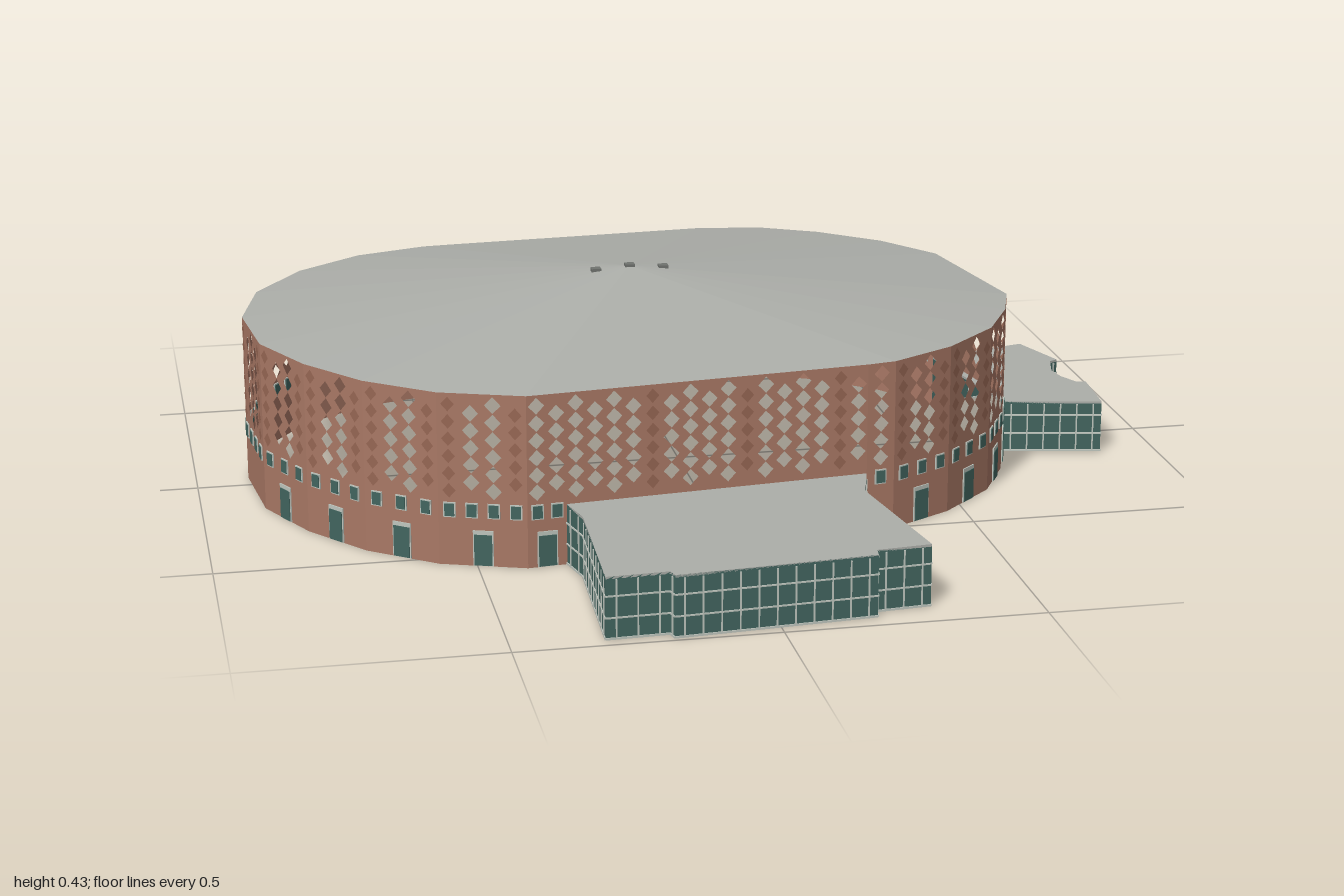
import * as THREE from 'three';
import { mergeGeometries } from 'three/addons/utils/BufferGeometryUtils.js';

const mat = (name, color, side = THREE.FrontSide) => {
  const m = new THREE.MeshStandardMaterial({ color, side });
  m.name = name;
  return m;
};

const EAVE = 0.345, SILL = 0.12;
const APEX = [-0.105, 0.43, 0.02];

// Hall outline [x, z], running front, left side, back, right side.
// A third value marks a wall that opens into a wing below the sill.
const OUTLINE = [
  [-0.407, 0.587], [-0.33, 0.579, 1], [0.275, 0.516], [0.333, 0.505], [0.465, 0.43],
  [0.58, 0.32], [0.645, 0.198], [0.68, 0.09, 1], [0.62, -0.246], [0.53, -0.373],
  [0.41, -0.474], [0.29, -0.537], [0.153, -0.557, 1], [-0.386, -0.526], [-0.466, -0.52],
  [-0.614, -0.474], [-0.75, -0.373], [-0.852, -0.225], [-0.894, -0.045], [-0.873, 0.15],
  [-0.8, 0.3], [-0.7, 0.43], [-0.57, 0.53],
];

// Open wing outlines, from one hall corner round to the other
const WINGS = [
  { name: 'frontWing', h: 0.122, bay: 0.036, bars: [0.042, 0.084], pts: [
    [-0.33, 0.579], [-0.312, 0.655], [-0.325, 0.975], [-0.205, 0.97], [-0.2, 0.99],
    [0.185, 0.96], [0.188, 0.935], [0.295, 0.925], [0.247, 0.615], [0.275, 0.516]] },
  { name: 'leftWing', h: 0.11, bay: 0.036, bars: [0.04, 0.08], pts: [
    [0.68, 0.09], [0.883, 0.13], [0.893, -0.01], [0.873, -0.013], [0.852, -0.055],
    [0.845, -0.1], [0.862, -0.165], [0.88, -0.175], [0.835, -0.304], [0.62, -0.246]] },
  { name: 'backWing', h: 0.125, bay: 0.055, bars: [0.06, 0.105], pts: [
    [0.153, -0.557], [0.16, -1], [-0.46, -0.955], [-0.386, -0.526]] },
];

// Group whose x axis runs from a to b and whose z axis faces outward
function wallFrame(a, b, name) {
  const g = new THREE.Group();
  g.name = name;
  g.position.set(a[0], 0, a[1]);
  g.rotation.y = Math.atan2(-(b[1] - a[1]), b[0] - a[0]);
  return g;
}

const box = (w, h, d, x, y, z = 0) => new THREE.BoxGeometry(w, h, d).translate(x, y, z);

function add(group, name, geos, material) {
  if (!geos.length) return;
  const mesh = new THREE.Mesh(geos.length > 1 ? mergeGeometries(geos) : geos[0], material);
  mesh.name = name;
  group.add(mesh);
}

// Diamond outline, used for both the openings and the relief tiles
const diamond = (Type, x, y, w, h) => new Type([
  [x, y - h], [x + w, y], [x, y + h], [x - w, y],
].map(p => new THREE.Vector2(...p)));

export function createModel() {
  const brick = mat('brick', 0xa97865, THREE.DoubleSide);
  const darkBrick = mat('dark brick', 0x966653);
  const glass = mat('teal glass', 0x42655f, THREE.DoubleSide);
  const frame = mat('pale frame', 0xbfc6be);
  const roofGrey = mat('roof grey', 0xacaea9, THREE.DoubleSide);
  const ventGrey = mat('vent grey', 0x70736f);

  const model = new THREE.Group();
  model.name = 'arena';

  // Brick walls, perforated by columns of diamonds
  OUTLINE.forEach((a, i) => {
    const b = OUTLINE[(i + 1) % OUTLINE.length];
    const L = Math.hypot(b[0] - a[0], b[1] - a[1]);
    const open = a[2] === 1;
    const base = open ? SILL : 0;
    const wall = wallFrame(a, b, 'wallBay');
    const shape = new THREE.Shape([
      [0, base], [L, base], [L, EAVE], [0, EAVE],
    ].map(p => new THREE.Vector2(...p)));
    const tiles = [];
    const cols = Math.max(1, Math.floor(L / 0.037));
    for (let c = 0; c < cols; c++) {
      const x = (c + 0.5) * L / cols;
      const odd = c % 2;
      const pierced = open ? c % 5 !== 4 : Math.abs(c + 0.6 - cols / 2) < 1.2;
      for (let r = 0; r < 6 - odd; r++) {
        const y = 0.151 + r * 0.0345 + odd * 0.01725;
        if (pierced) shape.holes.push(diamond(THREE.Path, x, y, 0.016, 0.0165));
        else tiles.push(new THREE.ShapeGeometry(diamond(THREE.Shape, x, y, 0.013, 0.0145)).translate(0, 0, 0.002));
      }
    }
    add(wall, 'brickWall', [new THREE.ShapeGeometry(shape)], brick);
    add(wall, 'reliefTiles', tiles, darkBrick);

    // Small upper windows and the ground doors
    if (!open) {
      const panes = [], frames = [];
      const n = Math.max(1, Math.round(L / 0.048));
      for (let k = 0; k < n; k++) {
        const x = (k + 0.5) * L / n;
        frames.push(box(0.024, 0.03, 0.005, x, 0.112));
        panes.push(box(0.019, 0.025, 0.008, x, 0.112));
      }
      if ((a[1] + b[1]) / 2 > 0.1 && L > 0.07) {
        frames.push(box(0.04, 0.071, 0.005, L / 2, 0.0365));
        panes.push(box(0.035, 0.062, 0.008, L / 2, 0.033));
      }
      add(wall, 'windowFrames', frames, frame);
      add(wall, 'windowPanes', panes, glass);
    }
    model.add(wall);
  });

  // Shallow faceted main roof
  const tri = [];
  OUTLINE.forEach((a, i) => {
    const b = OUTLINE[(i + 1) % OUTLINE.length];
    tri.push(a[0], EAVE, a[1], b[0], EAVE, b[1], ...APEX);
  });
  const roofGeo = new THREE.BufferGeometry();
  roofGeo.setAttribute('position', new THREE.Float32BufferAttribute(tri, 3));
  roofGeo.computeVertexNormals();
  add(model, 'mainRoof', [roofGeo], roofGrey);

  // Three roof vents in a row at the peak
  add(model, 'roofVents', [-0.07, 0, 0.07].map(d =>
    box(0.02, 0.012, 0.018, APEX[0] + d, d ? 0.422 : 0.428, APEX[2])), ventGrey);

  // Glazed wings with flat roofs
  for (const { name, h, bay, bars, pts } of WINGS) {
    const wing = new THREE.Group();
    wing.name = name;
    const plan = new THREE.Shape(pts.map(p => new THREE.Vector2(p[0], -p[1])));
    const slab = new THREE.ExtrudeGeometry(plan, { depth: 0.005, bevelEnabled: false });
    add(wing, 'wingRoof', [slab.rotateX(-Math.PI / 2).translate(0, h - 0.005, 0)], roofGrey);
    for (let i = 0; i < pts.length - 1; i++) {
      const a = pts[i], b = pts[i + 1];
      const L = Math.hypot(b[0] - a[0], b[1] - a[1]);
      const side = wallFrame(a, b, 'glazedWall');
      add(side, 'glazing', [new THREE.PlaneGeometry(L, h).translate(L / 2, h / 2, 0)], glass);
      const n = Math.max(1, Math.round(L / bay));
      const mullions = bars.map(y => box(L, 0.003, 0.004, L / 2, y));
      mullions.push(box(L, 0.004, 0.004, L / 2, 0.002));
      for (let k = 0; k < n; k++) mullions.push(box(0.003, h - 0.006, 0.004, (k + 0.5) * L / n, h / 2 - 0.003));
      add(side, 'mullions', mullions, frame);
      wing.add(side);
    }
    model.add(wing);
  }
  return model;
}
